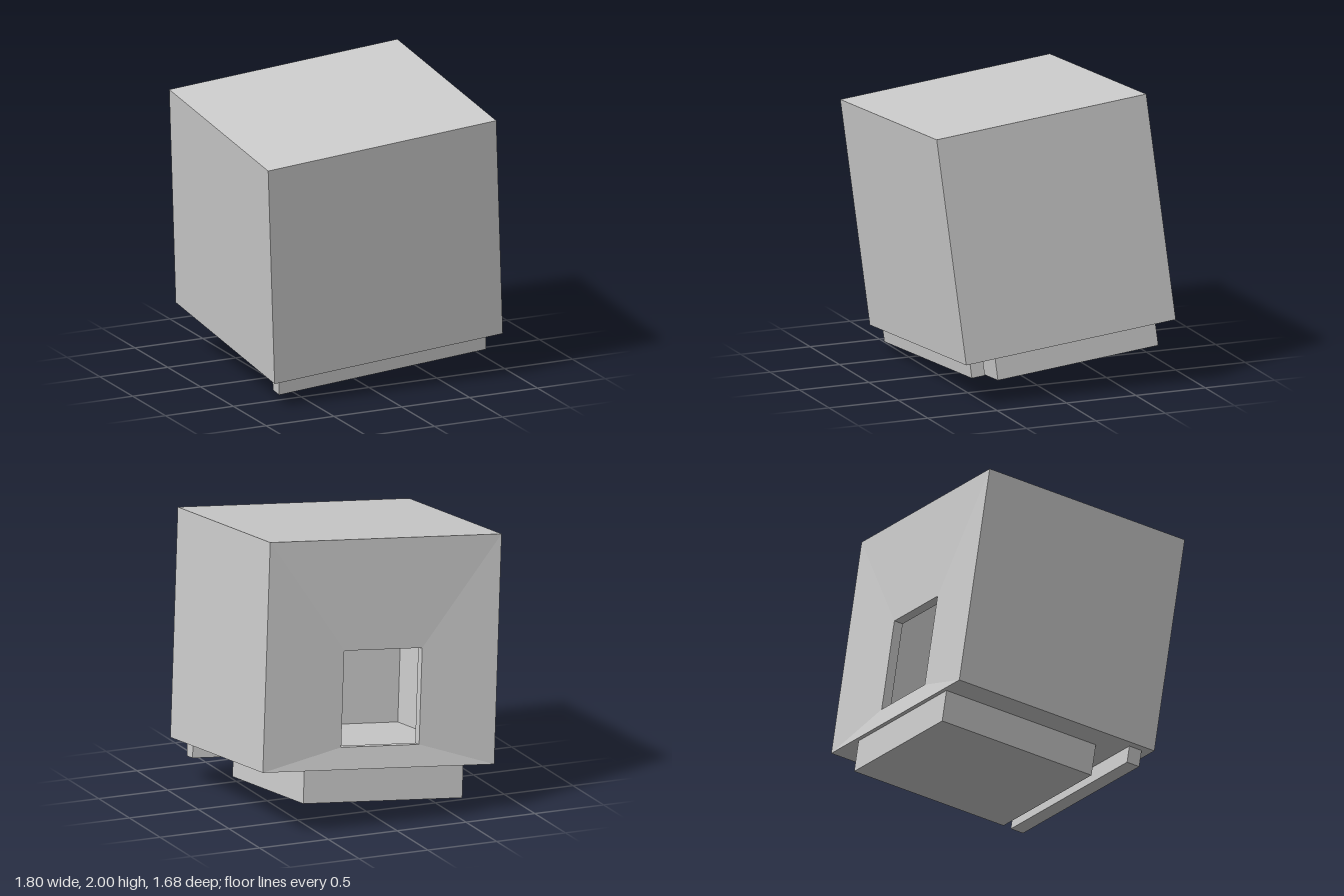
import * as THREE from 'three';

// Flat-shaded skin over a series of four-cornered rings, capped at both ends.
// Each ring is [x0, x1, y0, y1, z].
function loftRings(rings) {
  const pos = [];
  const corners = rings.map(([x0, x1, y0, y1, z]) => [[x0, y0, z], [x1, y0, z], [x1, y1, z], [x0, y1, z]]);
  const quad = (a, b, c, d) => pos.push(...a, ...b, ...c, ...a, ...c, ...d);
  quad(...corners[0]);
  for (let i = 0; i < corners.length - 1; i++) {
    const a = corners[i], b = corners[i + 1];
    for (let j = 0; j < 4; j++) {
      const k = (j + 1) % 4;
      quad(a[j], b[j], b[k], a[k]);
    }
  }
  quad(...[...corners[corners.length - 1]].reverse());
  const geo = new THREE.BufferGeometry();
  geo.setAttribute('position', new THREE.Float32BufferAttribute(pos, 3));
  geo.computeVertexNormals();
  return geo;
}

export function createModel() {
  const model = new THREE.Group();
  const grey = new THREE.MeshStandardMaterial({ color: 0xcccccc });
  grey.name = 'light grey';

  // Whole body leans slightly back and to one side
  const body = new THREE.Group();
  body.name = 'tiltedBody';
  const right = new THREE.Vector3(1.675, 0.135, 0.015).normalize();
  const up = new THREE.Vector3(-0.125, 1.535, 0.16);
  const front = new THREE.Vector3().crossVectors(right, up).normalize();
  up.crossVectors(front, right);
  body.quaternion.setFromRotationMatrix(new THREE.Matrix4().makeBasis(right, up, front));
  body.position.set(0, 1.0875, -0.0025);
  model.add(body);

  const add = (name, geo) => {
    const mesh = new THREE.Mesh(geo, grey);
    mesh.name = name;
    body.add(mesh);
  };

  // Hollow casing: outer box, shallow dished back, square opening, inner cavity
  const W = 0.84, H = 0.774, D = 0.759, t = 0.055;
  const hole = [-0.302, 0.264, -0.627, 0.022];
  const inside = [-W + t, W - t, -H + t, H - t];
  add('casing', loftRings([
    [-W, W, -H, H, D],
    [-W, W, -H, H, -D],
    [...hole, -D + 0.028],
    [...hole, -D + 0.093],
    [...inside, -D + 0.093],
    [...inside, D - t],
  ]));

  // Blocks under the casing, given by their min and max corners
  const block = (name, x0, x1, y0, y1, z0, z1) => add(name,
    new THREE.BoxGeometry(x1 - x0, y1 - y0, z1 - z0)
      .translate((x0 + x1) / 2, (y0 + y1) / 2, (z0 + z1) / 2));
  block('frontFootBar', -0.78, 0.745, -0.892, -H, 0.6, 0.695);
  block('basePlinth', -0.627, 0.527, -0.997, -H, -0.732, 0.43);

  return model;
}
